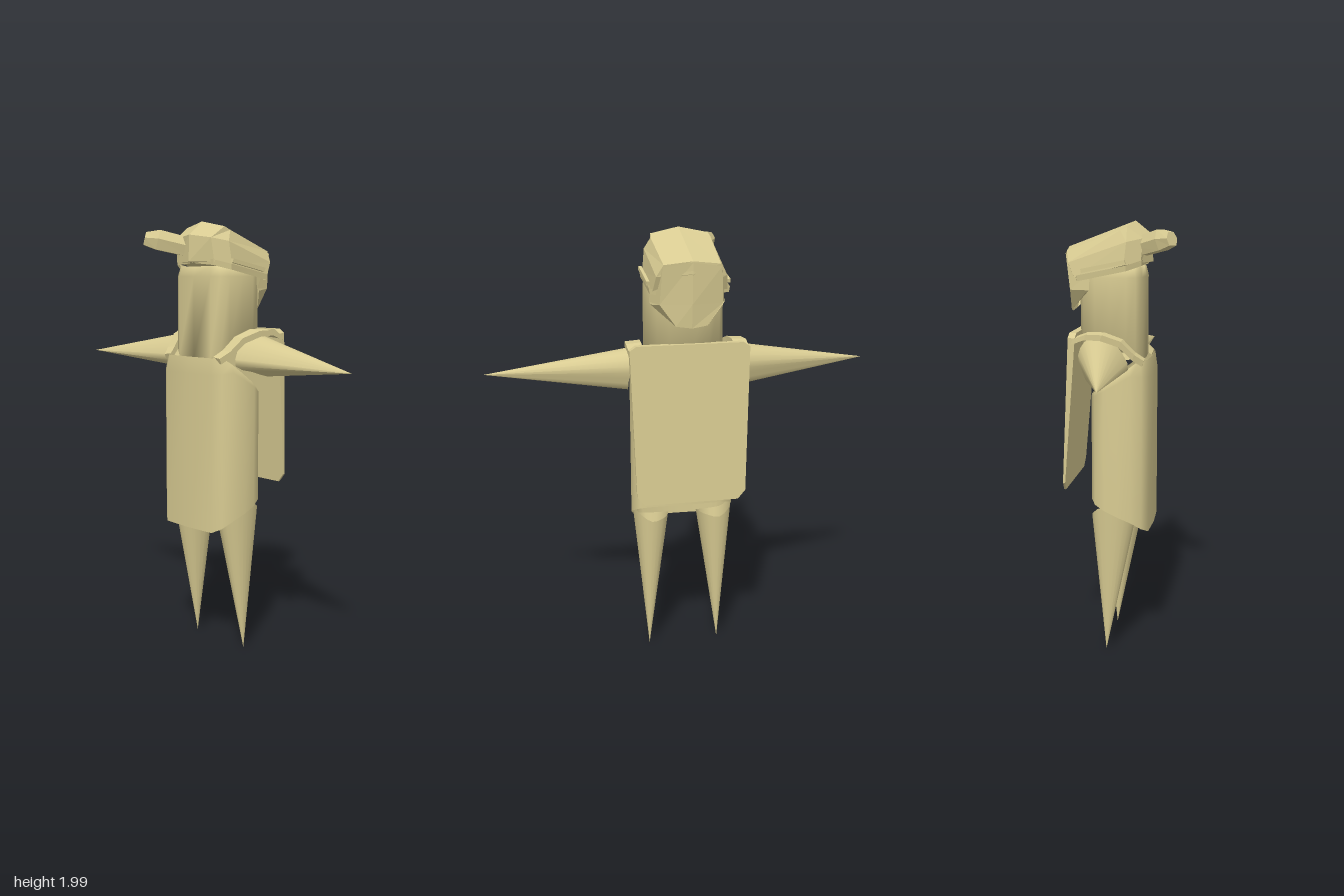
import * as THREE from 'three';

const material = new THREE.MeshStandardMaterial({ color: 0xd8cb92, side: THREE.DoubleSide });

// Skins a list of equal-length cross-sections
function loft(rings, { closed = true, flat = false, caps = false } = {}) {
  const n = rings[0].length, index = [];
  const positions = rings.flat(2);
  for (let r = 0; r < rings.length - 1; r++) {
    for (let i = 0; i < (closed ? n : n - 1); i++) {
      const j = (i + 1) % n, a = r * n + i, b = r * n + j;
      index.push(a, b, b + n, a, b + n, a + n);
    }
  }
  if (caps) {
    const last = (rings.length - 1) * n;
    for (let i = 1; i < n - 1; i++) {
      index.push(0, i + 1, i, last, last + i, last + i + 1);
    }
  }
  let g = new THREE.BufferGeometry();
  g.setAttribute('position', new THREE.Float32BufferAttribute(positions, 3));
  g.setIndex(index);
  if (flat) g = g.toNonIndexed();
  g.computeVertexNormals();
  return g;
}

// Completes a half ring that starts and ends on the centre line
const mirrorRing = half => [...half, ...half.slice(1, -1).reverse().map(([x, y, z]) => [-x, y, z])];

// Piecewise linear lookup through [key, value] pairs in descending key order
function ramp(pairs, k) {
  if (k >= pairs[0][0]) return pairs[0][1];
  for (let i = 1; i < pairs.length; i++) {
    const [a, va] = pairs[i - 1], [b, vb] = pairs[i];
    if (k >= b) return va + (vb - va) * (a - k) / (a - b);
  }
  return pairs[pairs.length - 1][1];
}

export function createModel() {
  const model = new THREE.Group();
  const add = (name, geometry, parent = model) => {
    const mesh = new THREE.Mesh(geometry, material);
    mesh.name = name;
    parent.add(mesh);
    return mesh;
  };

  // Torso: hollow rounded shell with slanted hems
  const torsoPlan = [[0, 0.14], [0.16, 0.133], [0.2, 0.105], [0.228, 0.06], [0.238, 0],
    [0.235, -0.06], [0.215, -0.105], [0.16, -0.128], [0, -0.135]];
  const torsoRing = (yOf, s = 1) => mirrorRing(torsoPlan.map(([x, z]) => [x * s, yOf(z), z > 0 ? z * s : z]));
  const hem = z => ramp([[0.132, 0.6], [0.06, 0.655], [-0.06, 0.71], [-0.13, 0.745]], z);
  const collar = z => ramp([[0.13, 1.32], [0.06, 1.33], [-0.13, 1.22]], z);
  const neckline = z => ramp([[0.13, 1.395], [0.1, 1.4], [0.05, 1.36], [-0.13, 1.235]], z);
  add('torso', loft([torsoRing(hem), torsoRing(collar), torsoRing(neckline, 0.93)]));

  // Head: upright tube reaching down behind the collar
  const headPlan = [[0, 0.1], [0.11, 0.095], [0.15, 0.07], [0.168, 0.03], [0.173, -0.04],
    [0.168, -0.11], [0.14, -0.165], [0.09, -0.187], [0, -0.19]];
  const headRing = (yOf, s = 1) => mirrorRing(headPlan.map(([x, z]) => [x * s, yOf(z), z * s]));
  add('head', loft([
    headRing(z => ramp([[0.1, 1.385], [0.07, 1.42], [0, 1.46], [-0.08, 1.49], [-0.19, 1.45]], z)),
    headRing(() => 1.755),
    headRing(() => 1.8, 0.9),
  ], { caps: true }));

  // Hat: faceted shell sloping down to the back
  const hat = new THREE.Group();
  hat.name = 'hat';
  model.add(hat);
  add('hatShell', loft([
    [[0, 1.82, 0.13], [0.13, 1.82, 0.09], [0.17, 1.81, 0.02], [0.165, 1.755, -0.2], [0, 1.75, -0.24]],
    [[0, 1.94, 0.125], [0.12, 1.925, 0.1], [0.16, 1.91, 0.03], [0.155, 1.82, -0.23], [0, 1.83, -0.255]],
    [[0, 2.0, 0.05], [0.13, 1.975, 0.03], [0.135, 1.96, 0], [0.125, 1.87, -0.24], [0, 1.885, -0.255]],
  ].map(mirrorRing), { flat: true, caps: true }), hat);

  // Neck guard hanging from the back of the hat
  const guardRow = half => [...half.slice(1).reverse().map(([x, y, z]) => [-x, y, z]), ...half];
  add('neckGuard', loft([
    [[0, 1.88, -0.257], [0.13, 1.86, -0.245], [0.165, 1.78, -0.13]],
    [[0, 1.7, -0.247], [0.14, 1.7, -0.225], [0.168, 1.7, -0.135]],
    [[0, 1.595, -0.237], [0.07, 1.605, -0.232], [0.165, 1.69, -0.15]],
  ].map(guardRow), { closed: false, flat: true }), hat);

  // Narrow brim and side bands
  const brim = (s, dy) => mirrorRing([[0, 1.84 + dy, 0.105], [0.12, 1.83 + dy, 0.09], [0.172, 1.81 + dy, 0.03],
    [0.17, 1.765 + dy, -0.18], [0, 1.755 + dy, -0.22]].map(([x, y, z]) => [x * s, y, z * s]));
  add('hatBrim', loft([brim(1.03, -0.025), brim(1.05, 0)], { flat: true }), hat);
  for (const side of [1, -1]) {
    const band = add('sideBand', new THREE.BoxGeometry(0.014, 0.018, 0.2), hat);
    band.position.set(side * 0.179, 1.805, -0.07);
    band.rotation.x = -0.2;
  }

  // Snout: tapered six-sided prism turned to one side
  const hex = [[-0.7, -1], [0.7, -1], [1, 0.1], [0.55, 1], [-0.55, 1], [-1, 0.1]];
  const stations = [[0, 0.043, 0.042, 0], [0.15, 0.043, 0.045, 0], [0.21, 0.032, 0.029, -0.008]];
  const snout = add('snout', loft(stations.map(([d, w, h, dy]) => hex.map(([x, y]) => [x * w, y * h + dy, d])),
    { flat: true, caps: true }), hat);
  snout.position.set(-0.06, 1.885, 0.07);
  snout.rotation.set(-0.23, -0.66, 0, 'YXZ');

  // Hollow cones for the limbs
  const cone = (base, tip) => {
    const curve = new THREE.CatmullRomCurve3(base.map(p => new THREE.Vector3(...p)), true);
    const ring = curve.getPoints(20).slice(0, 20).map(p => p.toArray());
    const point = ring.map(p => p.map((v, i) => tip[i] + (v - tip[i]) * 0.005));
    return loft([ring, point]);
  };
  for (const side of [1, -1]) {
    const half = new THREE.Group();
    half.name = side > 0 ? 'leftSide' : 'rightSide';
    half.scale.x = side;
    model.add(half);

    add('arm', cone([[0.23, 1.36, 0.05], [0.21, 1.43, 0.02], [0.2, 1.48, -0.03], [0.2, 1.5, -0.09],
      [0.22, 1.48, -0.145], [0.25, 1.42, -0.17], [0.265, 1.36, -0.15], [0.265, 1.31, -0.125],
      [0.25, 1.33, -0.04]], [0.89, 1.373, 0.028]), half);

    add('leg', cone([[0.16, 0.64, 0.07], [0.21, 0.66, 0.04], [0.235, 0.72, -0.025], [0.215, 0.705, -0.1],
      [0.16, 0.67, -0.128], [0.1, 0.68, -0.11], [0.07, 0.68, -0.04], [0.095, 0.65, 0.04]],
    [0.168, 0.01, -0.062]), half);

    // Ribbon over the shoulder: inner x, outer x, y, z
    const strap = [[0.205, 0.27, 1.5, -0.19], [0.205, 0.272, 1.522, -0.13], [0.2, 0.268, 1.52, -0.06],
      [0.19, 0.245, 1.49, 0.02], [0.17, 0.22, 1.43, 0.075], [0.15, 0.195, 1.4, 0.115]];
    add('shoulderStrap', loft(strap.map(([a, b, y, z]) =>
      [[a, y, z], [b, y - 0.005, z], [b, y - 0.03, z - 0.01], [a, y - 0.025, z - 0.01]]),
    { flat: true, caps: true }), half);
  }

  // Cape: thin wedge with clipped lower corners
  const cape = [[0.27, 1.5], [0.25, 0.84], [0.215, 0.8], [-0.215, 0.8], [-0.25, 0.84], [-0.27, 1.5],
    [-0.24, 1.52], [0.24, 1.52]];
  const capeFace = (top, bottom) => cape.map(([x, y]) => [x, y, bottom + (top - bottom) * (y - 0.8) / 0.72]);
  add('cape', loft([capeFace(-0.178, -0.238), capeFace(-0.21, -0.247)], { flat: true, caps: true }));

  return model;
}
